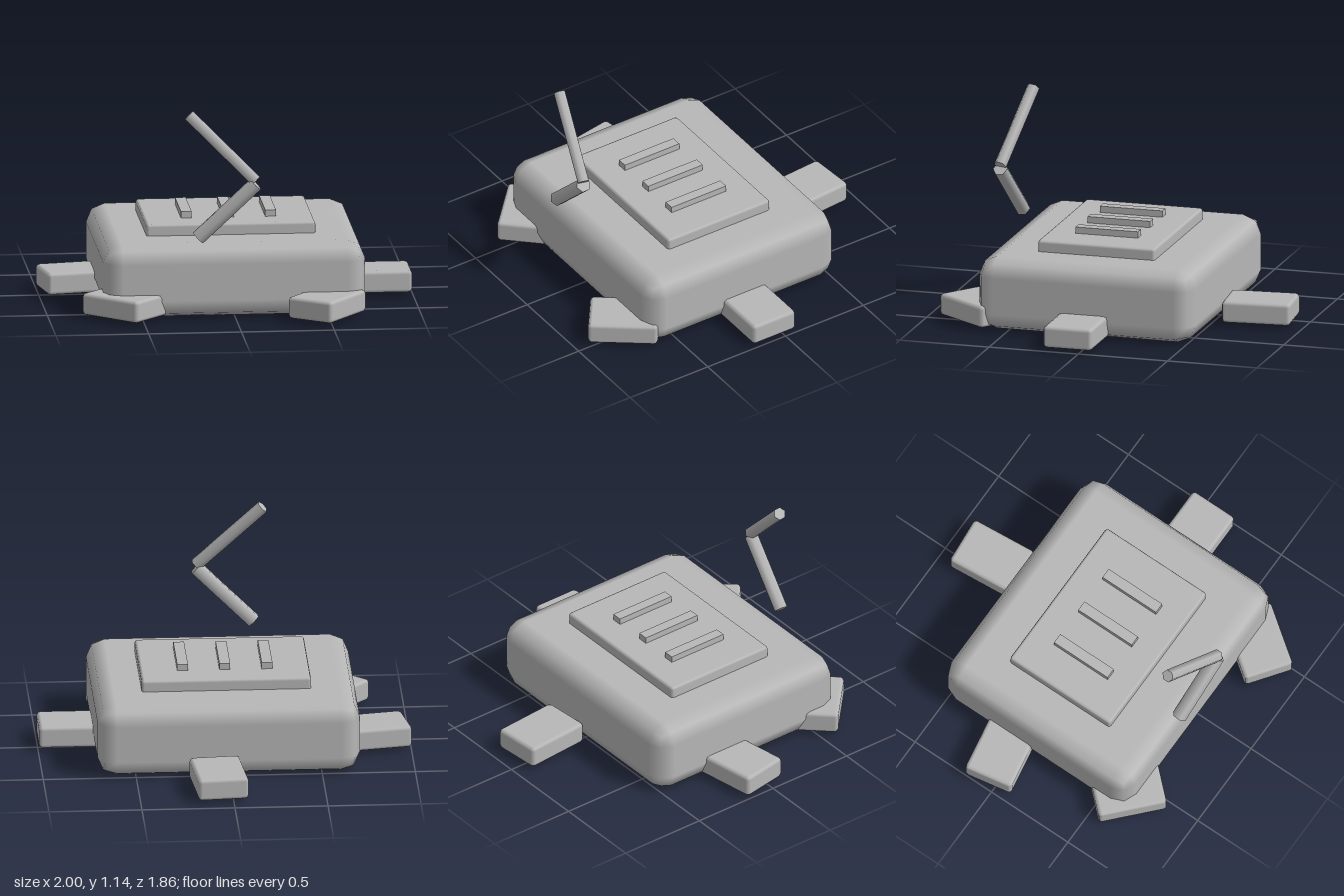
import * as THREE from 'three';
import { RoundedBoxGeometry } from 'three/addons/geometries/RoundedBoxGeometry.js';

export function createModel() {
  const group = new THREE.Group();
  const grey = new THREE.MeshStandardMaterial({ color: 0xb8b8b8 });
  grey.name = 'grey';

  const add = (name, geometry, x, y, z, turn = 0) => {
    const mesh = new THREE.Mesh(geometry, grey);
    mesh.name = name;
    mesh.position.set(x, y, z);
    mesh.rotation.y = turn;
    group.add(mesh);
    return mesh;
  };

  // Main body with softly bevelled edges
  add('body', new RoundedBoxGeometry(1.41, 0.4, 1.21, 1, 0.1), 0, 0.203, 0.066);

  // Raised top plate with three ridges
  add('topPlate', new RoundedBoxGeometry(0.91, 0.1, 0.655, 1, 0.015), 0, 0.415, 0.065);
  for (const x of [-0.227, 0, 0.227]) {
    add('ridge', new THREE.BoxGeometry(0.058, 0.06, 0.35), x, 0.47, 0.065);
  }

  // Block feet: x, z and turn of the long axis
  const foot = new RoundedBoxGeometry(0.272, 0.12, 0.374, 1, 0.02);
  const feet = [
    ['backFoot', 0.07, -0.742, 0.085],
    ['leftFoot', 0.808, 0.065, Math.PI / 2],
    ['rightFoot', -0.797, -0.07, -1.396],
    ['frontRightFoot', -0.593, 0.606, 0.823],
    ['frontLeftFoot', 0.49, 0.702, 2.509],
  ];
  for (const [name, x, z, turn] of feet) add(name, foot, x, 0.08, z, turn);

  // Bent lever made of two six-sided rods
  const rod = (name, a, b, radius) => {
    const start = new THREE.Vector3(...a);
    const end = new THREE.Vector3(...b);
    const dir = end.clone().sub(start);
    const mid = start.clone().add(end).multiplyScalar(0.5);
    const mesh = add(name, new THREE.CylinderGeometry(radius, radius, dir.length(), 6), mid.x, mid.y, mid.z);
    mesh.quaternion.setFromUnitVectors(new THREE.Vector3(0, 1, 0), dir.normalize());
  };
  rod('lowerLever', [-0.203, 0.452, 0.672], [0.104, 0.749, 0.707], 0.041);
  rod('upperLever', [0.104, 0.767, 0.707], [-0.249, 1.118, 0.628], 0.035);

  return group;
}
